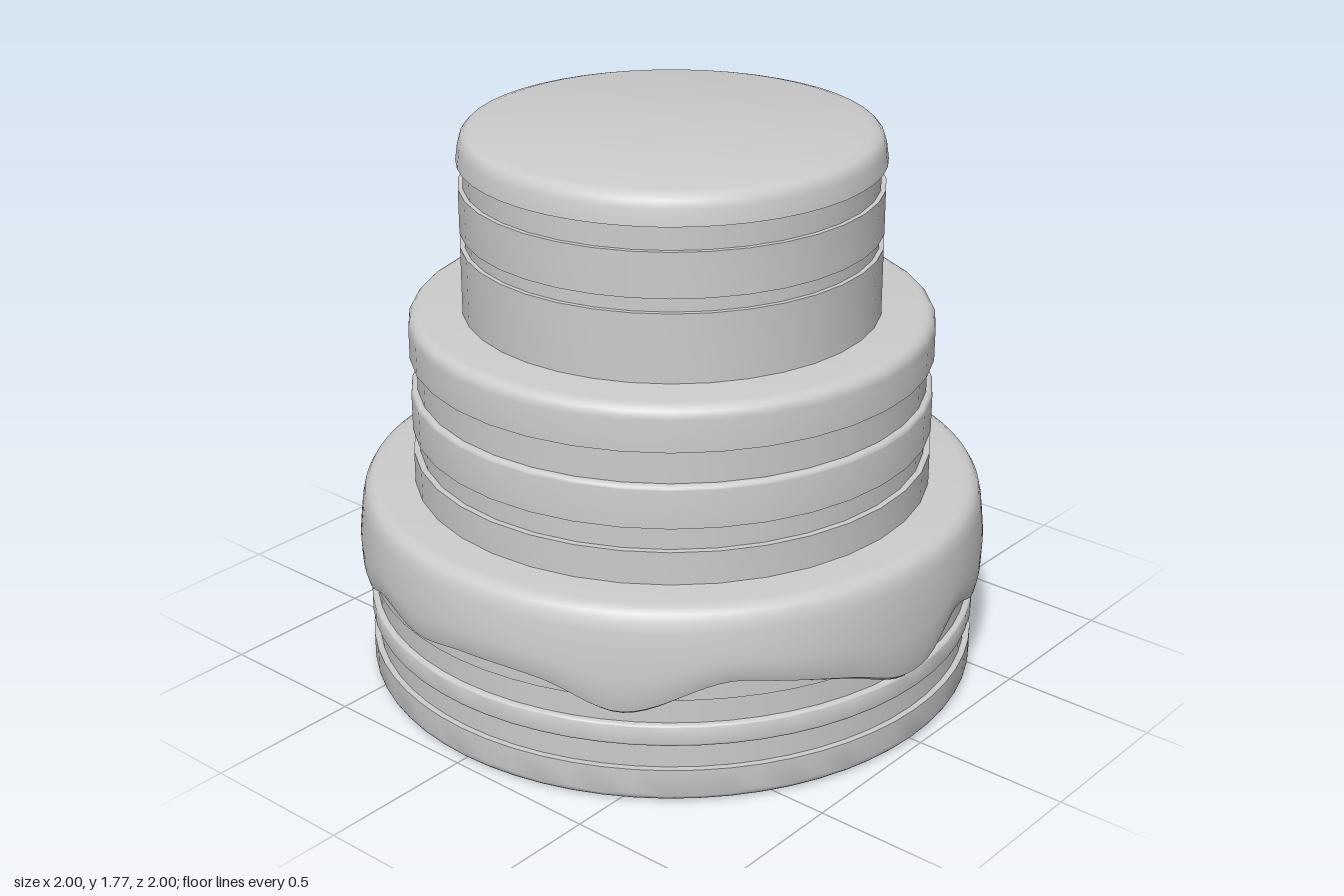
import * as THREE from 'three';
import { toCreasedNormals } from 'three/addons/utils/BufferGeometryUtils.js';

const material = new THREE.MeshStandardMaterial({ color: 0xcccccc, side: THREE.DoubleSide });

function spin(points, segments) {
  return new THREE.LatheGeometry(points.map(([r, y]) => new THREE.Vector2(r, y)), segments);
}

function part(name, geometry) {
  const mesh = new THREE.Mesh(toCreasedNormals(geometry, 0.6), material);
  mesh.name = name;
  return mesh;
}

// Solid disc from y0 to y1 with rounded lower and upper rims
function disc(name, r, y0, y1, low = 0, high = 0, segments = 48) {
  const points = [[0, y0]];
  const steps = 5;
  for (let i = 0; i <= (low ? steps : 0); i++) {
    const a = (i / steps) * Math.PI / 2;
    points.push([r - low * (1 - Math.sin(a)), y0 + low * (1 - Math.cos(a))]);
  }
  for (let i = 0; i <= (high ? steps : 0); i++) {
    const a = (i / steps) * Math.PI / 2;
    points.push([r - high * (1 - Math.cos(a)), y1 - high * (1 - Math.sin(a))]);
  }
  points.push([0, y1]);
  return part(name, spin(points, segments));
}

// Lower edge of the icing: [degrees from the front towards +x, height]
const drips = [
  [-179, 0.36], [-166, 0.36], [-155, 0.35], [-144, 0.385], [-134, 0.38], [-123, 0.345],
  [-113, 0.39], [-100, 0.36], [-88, 0.385], [-72, 0.375], [-58, 0.30], [-41, 0.40],
  [-30, 0.38], [-17, 0.33], [-6, 0.262], [2, 0.268], [12, 0.365], [24, 0.312],
  [39, 0.385], [54, 0.338], [73, 0.408], [90, 0.35], [107, 0.27], [123, 0.375],
  [134, 0.355], [143, 0.38], [157, 0.318], [168, 0.355],
];

// Smooth periodic interpolation of the drip heights
function dripHeight(degrees) {
  const n = drips.length;
  const at = (i) => [drips[(i + n) % n][0] + 360 * Math.floor(i / n), drips[(i + n) % n][1]];
  let d = degrees;
  while (d < drips[0][0]) d += 360;
  while (d >= drips[0][0] + 360) d -= 360;
  let i = 0;
  while (at(i + 1)[0] <= d) i++;
  const [a, b, c, e] = [at(i - 1), at(i), at(i + 1), at(i + 2)];
  const w = c[0] - b[0], t = (d - b[0]) / w;
  const m0 = (c[1] - a[1]) / (c[0] - a[0]) * w, m1 = (e[1] - b[1]) / (e[0] - b[0]) * w;
  return (2 * t ** 3 - 3 * t * t + 1) * b[1] + (t ** 3 - 2 * t * t + t) * m0
    + (3 * t * t - 2 * t ** 3) * c[1] + (t ** 3 - t * t) * m1;
}

// Icing shell: a lathe whose lower part is stretched to the drip edge
function icing() {
  const top = 0.57, base = 0.34;
  const geometry = spin([
    [0.95, 0.56], [0.96, 0.34], [0.975, 0.34], [0.99, 0.35], [0.998, 0.38], [1, 0.44], [0.995, 0.5],
    [0.988, 0.57], [0.98, 0.605], [0.968, 0.625], [0.95, 0.637], [0.925, 0.64], [0, 0.64],
  ], 180);
  const p = geometry.attributes.position;
  for (let i = 0; i < p.count; i++) {
    const y = p.getY(i);
    if (y >= top - 0.02) continue;
    const edge = dripHeight(Math.atan2(p.getX(i), p.getZ(i)) * 180 / Math.PI);
    p.setY(i, top - (top - y) * (top - edge) / (top - base));
  }
  return part('drippingIcing', geometry);
}

export function createModel() {
  const cake = new THREE.Group();
  cake.name = 'tieredCake';

  // Each layer: [radius, bottom, top, lower rounding, upper rounding]
  const tiers = [
    { name: 'bottomTier', filling: [0.955, 0.05, 0.58], segments: 64, layers: [
      [0.975, 0, 0.11, 0.03, 0], [0.975, 0.19, 0.26, 0.01, 0.01], [0.972, 0.345, 0.6, 0, 0]] },
    { name: 'middleTier', filling: [0.8, 0.66, 1.15], segments: 36, layers: [
      [0.82, 0.62, 0.745, 0, 0], [0.82, 0.82, 0.955, 0, 0.015], [0.82, 1.06, 1.2, 0, 0.04]] },
    { name: 'topTier', filling: [0.637, 1.22, 1.72], segments: 36, layers: [
      [0.652, 1.18, 1.415, 0, 0], [0.652, 1.46, 1.6, 0, 0]] },
  ];
  for (const { name, filling, segments, layers } of tiers) {
    const tier = new THREE.Group();
    tier.name = name;
    tier.add(disc('filling', ...filling, 0, 0, segments));
    layers.forEach((layer, i) => tier.add(disc('spongeLayer' + (i + 1), ...layer, segments)));
    cake.add(tier);
  }

  // Tapered cap on the top tier
  cake.add(part('topCap', spin([
    [0, 1.675], [0.655, 1.675], [0.648, 1.725], [0.641, 1.748], [0.628, 1.762], [0.6, 1.77], [0, 1.77],
  ], 48)));

  cake.add(icing());
  return cake;
}
